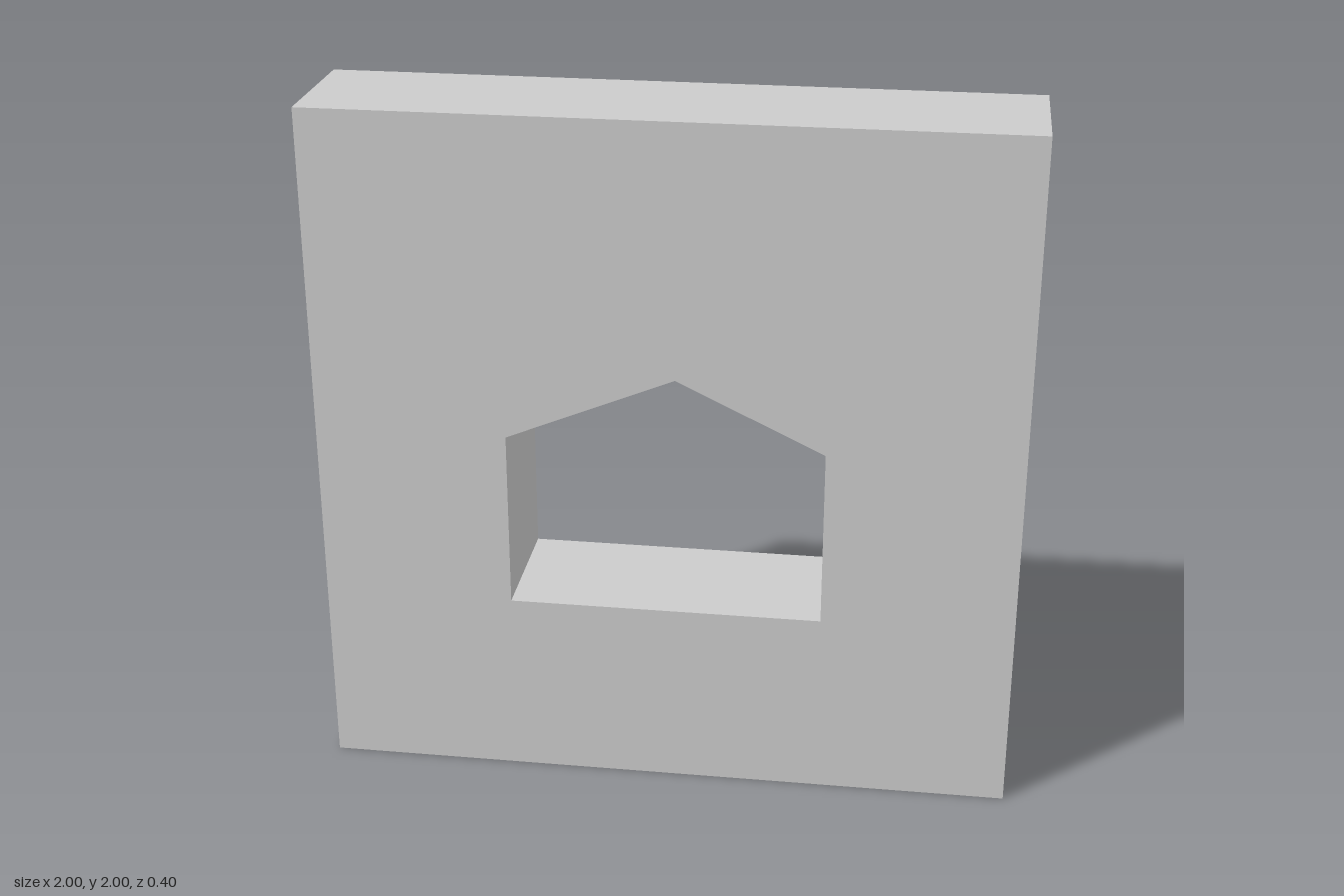
import * as THREE from 'three';

const DEPTH = 0.4;

export function createModel() {
  const group = new THREE.Group();
  group.name = 'wallWithWindow';

  // Square wall outline
  const outline = new THREE.Shape();
  outline.moveTo(-1, 0);
  outline.lineTo(1, 0);
  outline.lineTo(1, 2);
  outline.lineTo(-1, 2);
  outline.closePath();

  // Gabled window opening, its peak slightly off centre
  const opening = new THREE.Path();
  opening.moveTo(-0.45, 0.55);
  opening.lineTo(-0.45, 1.07);
  opening.lineTo(0.03, 1.27);
  opening.lineTo(0.45, 1.07);
  opening.lineTo(0.45, 0.55);
  opening.closePath();
  outline.holes.push(opening);

  // Extruded wall slab, centred in depth
  const geometry = new THREE.ExtrudeGeometry(outline, { depth: DEPTH, bevelEnabled: false });
  geometry.translate(0, 0, -DEPTH / 2);
  const material = new THREE.MeshStandardMaterial({ color: 0xcccccc, flatShading: true });
  const wall = new THREE.Mesh(geometry, material);
  wall.name = 'wall';
  group.add(wall);

  return group;
}
